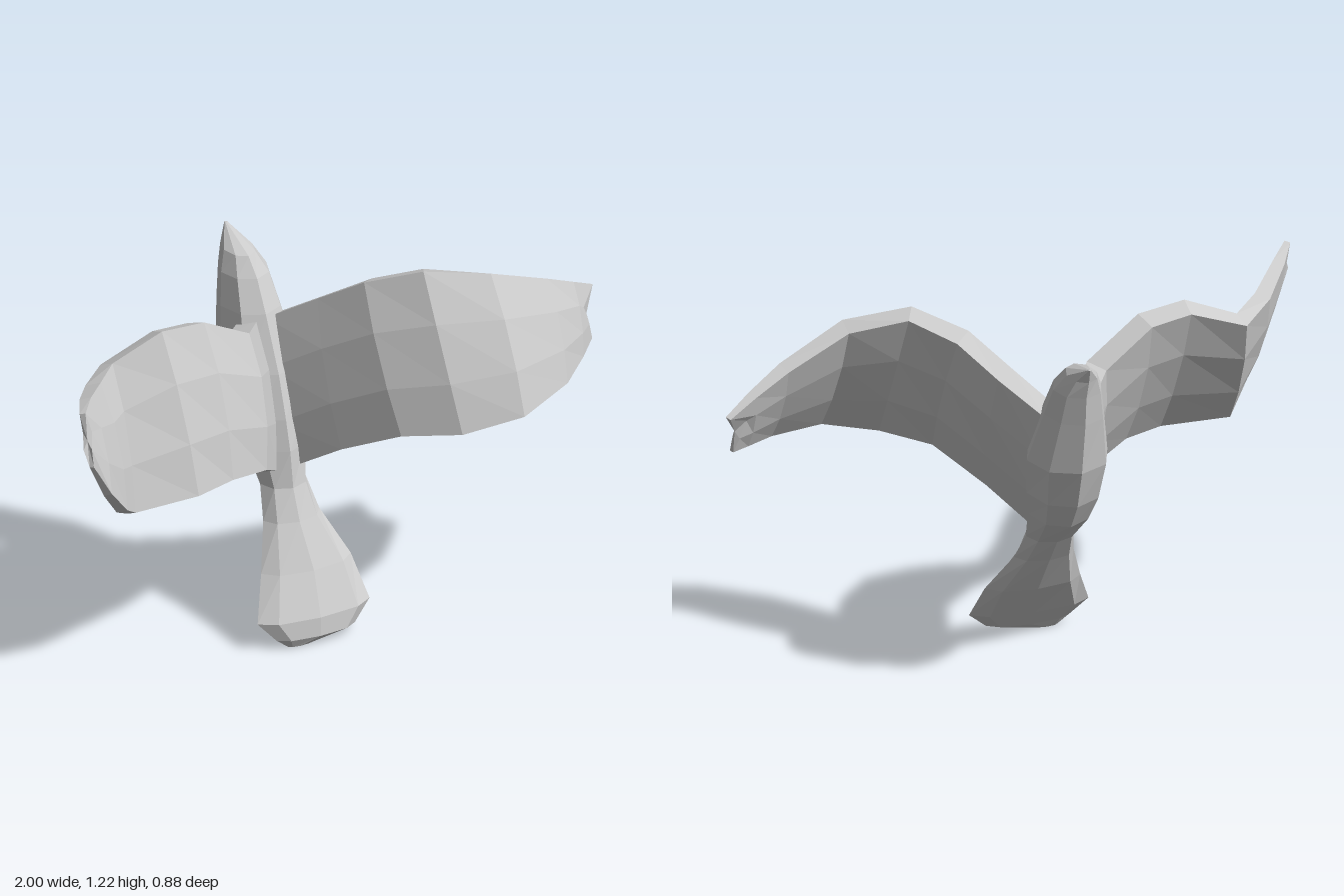
import * as THREE from 'three';

const material = new THREE.MeshStandardMaterial({ color: 0xcccccc, flatShading: true });

// Skin a list of closed rings (equal point counts) and cap both ends.
function loft(name, rings) {
  const pos = [];
  const tri = (a, b, c) => { for (const p of [a, b, c]) pos.push(p.x, p.y, p.z); };
  const n = rings[0].length;
  const centre = (r) => r.reduce((s, p) => s.add(p), new THREE.Vector3()).divideScalar(n);
  const first = rings[0], last = rings[rings.length - 1];
  const c0 = centre(first), c1 = centre(last);
  for (let j = 0; j < n; j++) {
    const k = (j + 1) % n;
    for (let i = 0; i < rings.length - 1; i++) {
      const r = rings[i], s = rings[i + 1];
      tri(r[j], s[j], r[k]);
      tri(r[k], s[j], s[k]);
    }
    tri(first[j], first[k], c0);
    tri(last[k], last[j], c1);
  }
  const geometry = new THREE.BufferGeometry();
  geometry.setAttribute('position', new THREE.Float32BufferAttribute(pos, 3));
  geometry.computeVertexNormals();
  const mesh = new THREE.Mesh(geometry, material);
  mesh.name = name;
  return mesh;
}

// Horizontal eight-sided ring: height, centre x, half width, belly z, back z.
function bodyRing([y, cx, hw, z0, z1]) {
  return Array.from({ length: 8 }, (_, i) => {
    const a = (i / 8) * Math.PI * 2;
    return new THREE.Vector3(
      cx + hw * Math.cos(a), y, (z0 + z1) / 2 + ((z1 - z0) / 2) * Math.sin(a));
  });
}

// Wing stations: top edge xyz, bottom edge xyz, half thickness.
// The last station is notched into feather points.
function wing(name, stations, notch) {
  const tops = stations.map((s) => new THREE.Vector3(s[0], s[1], s[2]));
  const bottoms = stations.map((s) => new THREE.Vector3(s[3], s[4], s[5]));
  const mids = tops.map((t, i) => t.clone().lerp(bottoms[i], 0.5));
  const end = stations.length - 1;
  const side = Math.sign(mids[end].x);
  const profile = [[0.02, 0.65], [0.33, 1], [0.68, 0.9], [0.98, 0.45]];
  const rings = stations.map((s, i) => {
    const span = mids[Math.min(i + 1, end)].clone().sub(mids[Math.max(i - 1, 0)]).normalize();
    const chord = bottoms[i].clone().sub(tops[i]);
    const normal = chord.clone().cross(span).multiplyScalar(side).normalize();
    const point = ([t, w], face, j) => {
      const p = tops[i].clone().addScaledVector(chord, t)
        .addScaledVector(normal, face * w * s[6]);
      return i === end ? p.addScaledVector(span, -notch[j]) : p;
    };
    const front = profile.map((p, j) => point(p, 1, j));
    const back = profile.map((p, j) => point(p, -1, j)).reverse();
    const ring = [...front, ...back];
    return side > 0 ? ring.reverse() : ring;
  });
  return loft(name, rings);
}

export function createModel() {
  const group = new THREE.Group();
  group.name = 'bird';

  // Fanned tail, body and head share their joining rings
  const tail = [
    [0.0, -0.11, 0.04, 0.165, 0.19],
    [0.03, -0.05, 0.14, 0.14, 0.21],
    [0.09, -0.045, 0.2, 0.1, 0.2],
    [0.22, -0.03, 0.16, 0.01, 0.125],
    [0.36, -0.04, 0.1, -0.075, 0.045],
    [0.46, -0.04, 0.08, -0.15, 0.0],
  ];
  const torso = [
    tail[tail.length - 1],
    [0.58, -0.04, 0.1, -0.29, -0.02],
    [0.68, -0.04, 0.12, -0.355, -0.05],
    [0.82, -0.04, 0.135, -0.4, -0.1],
    [1.0, -0.045, 0.1, -0.42, -0.18],
  ];
  const head = [
    torso[torso.length - 1],
    [1.1, -0.045, 0.08, -0.43, -0.24],
    [1.16, -0.05, 0.05, -0.44, -0.29],
    [1.21, -0.05, 0.005, -0.453, -0.443],
  ];
  group.add(loft('tail', tail.map(bodyRing)));
  group.add(loft('body', torso.map(bodyRing)));
  group.add(loft('head', head.map(bodyRing)));

  // Left wing, sweeping forward and then back at the tip
  group.add(wing('leftWing', [
    [0.0, 0.97, -0.24, -0.01, 0.48, -0.08, 0.05],
    [0.12, 1.07, -0.11, 0.11, 0.59, 0.07, 0.055],
    [0.22, 1.16, 0.01, 0.24, 0.68, 0.23, 0.055],
    [0.36, 1.215, 0.12, 0.39, 0.7, 0.345, 0.05],
    [0.56, 1.175, 0.17, 0.58, 0.735, 0.385, 0.045],
    [0.78, 1.08, 0.13, 0.78, 0.765, 0.29, 0.035],
    [0.9, 1.02, 0.09, 0.89, 0.79, 0.19, 0.025],
    [0.995, 0.97, 0.05, 0.96, 0.81, 0.12, 0.015],
  ], [0, 0.07, 0.03, 0]));

  // Right wing, flatter with an upturned tip folded forward
  group.add(wing('rightWing', [
    [-0.08, 0.97, -0.24, -0.07, 0.48, -0.08, 0.05],
    [-0.2, 1.03, -0.07, -0.2, 0.59, 0.08, 0.055],
    [-0.38, 1.14, -0.02, -0.36, 0.635, 0.17, 0.055],
    [-0.53, 1.155, 0.0, -0.5, 0.635, 0.22, 0.05],
    [-0.71, 1.08, 0.0, -0.73, 0.63, 0.22, 0.045],
    [-0.82, 1.09, 0.12, -0.81, 0.7, 0.31, 0.04],
    [-0.92, 1.125, 0.26, -0.91, 0.83, 0.405, 0.03],
    [-0.985, 1.135, 0.37, -0.99, 0.97, 0.435, 0.015],
  ], [0, 0.03, 0, 0.02]));

  return group;
}
